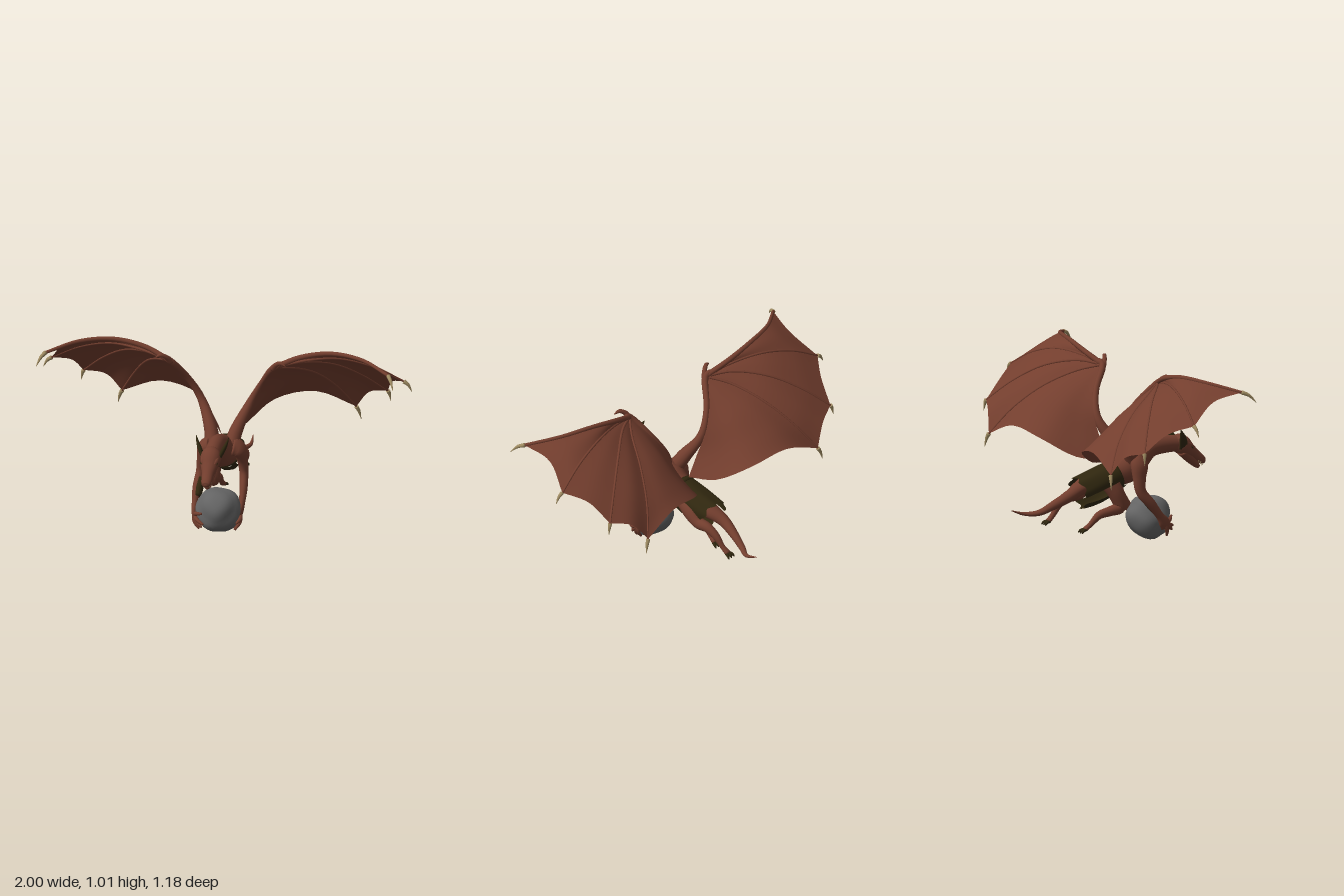
import * as THREE from 'three';
import { mergeVertices } from 'three/addons/utils/BufferGeometryUtils.js';

const V = (x, y, z) => new THREE.Vector3(x, y, z);

// Swept limb: points are [x, y, z, width, height]; ref is the width direction
function limbGeometry(pts, rings = 24, sides = 14, ref = V(1, 0, 0)) {
  const path = new THREE.CatmullRomCurve3(pts.map(p => V(p[0], p[1], p[2])));
  const size = new THREE.CatmullRomCurve3(pts.map(p => V(p[3], p[4] ?? p[3], 0)));
  const pos = [], idx = [];
  for (let i = 0; i <= rings; i++) {
    const c = path.getPoint(i / rings), t = path.getTangent(i / rings), r = size.getPoint(i / rings);
    const side = ref.clone().addScaledVector(t, -ref.dot(t)).normalize();
    const up = t.clone().cross(side);
    for (let j = 0; j < sides; j++) {
      const a = j / sides * Math.PI * 2;
      const p = c.clone().addScaledVector(side, Math.cos(a) * Math.max(r.x, 0.001))
        .addScaledVector(up, Math.sin(a) * Math.max(r.y, 0.001));
      pos.push(p.x, p.y, p.z);
      if (i < rings) {
        const k = i * sides, n = (j + 1) % sides;
        idx.push(k + j, k + n, k + sides + j, k + n, k + sides + n, k + sides + j);
      }
    }
  }
  // End caps
  for (const [i, flip] of [[0, true], [rings, false]]) {
    const c = path.getPoint(i / rings), k = i * sides, m = pos.length / 3;
    pos.push(c.x, c.y, c.z);
    for (let j = 0; j < sides; j++) {
      const n = (j + 1) % sides;
      idx.push(m, k + (flip ? n : j), k + (flip ? j : n));
    }
  }
  return build(pos, idx);
}

// Open sheet from a function of (u, v)
function sheetGeometry(f, nu, nv) {
  const pos = [], idx = [], w = nv + 1;
  for (let i = 0; i <= nu; i++) for (let j = 0; j <= nv; j++) {
    pos.push(...f(i / nu, j / nv).toArray());
    if (i < nu && j < nv) {
      const k = i * w + j;
      idx.push(k, k + 1, k + w, k + 1, k + w + 1, k + w);
    }
  }
  return build(pos, idx);
}

function build(pos, idx) {
  const g = new THREE.BufferGeometry();
  g.setAttribute('position', new THREE.Float32BufferAttribute(pos, 3));
  g.setIndex(idx);
  g.computeVertexNormals();
  return g;
}

export function createModel() {
  const model = new THREE.Group();
  const mat = (name, color, side = THREE.FrontSide) =>
    Object.assign(new THREE.MeshStandardMaterial({ color, side }), { name });
  const skin = mat('skin', 0x733e2e);
  const membraneSkin = mat('wing membrane', 0x733e2e, THREE.DoubleSide);
  const cloth = mat('dark cloth', 0x30270f, THREE.DoubleSide);
  const claw = mat('claw', 0xa08c62);
  const stone = mat('stone', 0x646464);

  const add = (name, geo, material, parent = model) => {
    const m = new THREE.Mesh(geo, material);
    m.name = name;
    parent.add(m);
    return m;
  };
  const group = name => {
    const g = new THREE.Group();
    g.name = name;
    model.add(g);
    return g;
  };

  // Neck, torso and tail in one sweep
  add('body', limbGeometry([
    [0, .5, .44, .042, .042], [0, .506, .34, .044, .048], [0, .497, .25, .047, .053], [0, .45, .17, .065, .075],
    [0, .405, .1, .085, .085], [0, .38, .02, .07, .066], [0, .362, -.08, .07, .055],
    [-.01, .33, -.18, .05, .04], [-.03, .292, -.27, .032, .032], [-.02, .25, -.36, .024, .024],
    [0, .214, -.44, .018, .016], [.035, .21, -.51, .011, .01], [.035, .235, -.588, .002, .002]], 64, 20), skin);

  // Head
  const head = group('head');
  add('skull', limbGeometry([[0, .508, .395, .038, .04], [0, .498, .435, .056, .054], [0, .462, .482, .047, .041],
    [0, .43, .525, .033, .03], [0, .403, .562, .029, .024], [0, .39, .58, .022, .018], [0, .387, .587, .006, .006]], 28, 16), skin, head);
  add('lowerJaw', limbGeometry([[0, .46, .445, .04, .028], [0, .423, .483, .036, .026], [0, .39, .518, .027, .021],
    [0, .366, .543, .02, .014], [0, .358, .551, .007, .006]], 16, 12), skin, head);
  for (const s of [1, -1]) {
    add('ear', limbGeometry([[s * .04, .485, .435, .01, .028], [s * .062, .53, .418, .012, .024],
      [s * .078, .565, .402, .008, .013], [s * .088, .597, .388, .001]], 10, 8), cloth, head);
    add('brow', limbGeometry([[s * .042, .508, .45, .008], [s * .036, .492, .482, .012], [s * .024, .466, .507, .004]], 8, 8), skin, head);
    add('eye', limbGeometry([[s * .046, .486, .475, .002, .003], [s * .042, .477, .488, .004, .004], [s * .037, .469, .498, .002]], 6, 8), cloth, head);
    for (let i = 0; i < 3; i++) {
      const x = s * (.017 + i * .003), y = .374 + i * .009, z = .564 - i * .012;
      add('tooth', limbGeometry([[x, y + .008, z, .004], [x, y - .005, z - .003, .001]], 3, 6), claw, head);
    }
  }

  // Wings
  for (const s of [1, -1]) {
    const wing = group(s > 0 ? 'leftWing' : 'rightWing');
    const M = pts => pts.map(([x, ...r]) => [x * s, ...r]);
    const curve = pts => new THREE.CatmullRomCurve3(M(pts).map(p => V(...p)));
    const wrist = [.285, .91, .125];
    const ribs = [
      [wrist, [.42, .965, .09], [.59, 1.0, .095], [.77, .995, .15], [.93, .962, .265]],
      [wrist, [.45, .945, .08], [.62, .95, .03], [.8, .9, -.01], [.955, .815, -.045]],
      [wrist, [.41, .92, .05], [.56, .88, -.07], [.7, .785, -.18], [.825, .665, -.275]],
      [wrist, [.37, .875, .02], [.46, .795, -.135], [.55, .67, -.275], [.635, .525, -.372]],
      [wrist, [.205, .8, .035], [.145, .685, -.015], [.085, .56, -.01], [.025, .45, -.01]],
    ];
    const tips = [[.968, .905, .335], [1.0, .76, -.042], [.84, .605, -.282], [.66, .45, -.383]];
    const curves = ribs.map(curve);
    // Inner points of each panel's scalloped outer edge
    const edges = [[[.9, .92, .11]], [[.87, .765, -.16]], [[.715, .63, -.33]],
      [[.42, .605, -.35], [.21, .565, -.3], [.085, .475, -.16]]];
    edges.forEach((mids, i) => {
      const edge = curve([ribs[i][4], ...mids, ribs[i + 1][4]]);
      const a = curves[i].getPoint(1), b = curves[i + 1].getPoint(1);
      add('membrane', sheetGeometry((t, u) => curves[i].getPoint(t).lerp(curves[i + 1].getPoint(t), u)
        .addScaledVector(edge.getPoint(u).sub(a.clone().lerp(b, u)), t * t), 20, 16), membraneSkin, wing);
    });
    // Finger bones and their claws
    tips.forEach((tip, i) => {
      const bone = ribs[i].map((p, k) => [...p, (i ? .008 : .016) - k * (i ? .0006 : .0018)]);
      add('fingerBone', limbGeometry(M(bone), 20, 8, V(0, 0, 1)), skin, wing);
      const base = ribs[i][4];
      const mid = base.map((c, k) => (c + tip[k]) / 2 + (k === 1 ? .012 : 0));
      add('wingClaw', limbGeometry(M([[...base, .012], [...mid, .009], [...tip, .001]]), 8, 8, V(0, .3, 1).normalize()), claw, wing);
    });
    add('wingArm', limbGeometry(M([[.05, .44, .12, .042, .045], [.07, .52, .075, .036, .04], [.135, .66, .004, .022, .022],
      [.205, .79, .036, .016, .017], [.285, .912, .125, .018, .018], [.32, .93, .12, .012]]), 24, 12), skin, wing);
    add('wingThumb', limbGeometry(M([[.275, .9, .125, .015], [.298, .935, .145, .013], [.325, .95, .16, .011],
      [.355, .938, .172, .002]]), 12, 8, V(0, 0, 1)), skin, wing);
  }

  // Arms reaching down to the boulder
  const arms = [
    { name: 'leftArm', pts: [[.055, .45, .14, .036, .05], [.09, .435, .125, .038, .052], [.108, .36, .1, .028, .038], [.115, .29, .1, .024, .03],
      [.122, .22, .145, .022, .027], [.122, .15, .195, .017, .022], [.118, .11, .22, .016, .032], [.112, .08, .238, .011, .028]],
      palm: [.116, .1, .225], tips: [[.11, .07, .295], [.105, .035, .285], [.095, .02, .262], [.09, .018, .235]] },
    { name: 'rightArm', pts: [[-.055, .45, .14, .036, .05], [-.09, .435, .13, .038, .052], [-.108, .36, .12, .028, .038], [-.116, .29, .125, .024, .03],
      [-.126, .22, .18, .022, .027], [-.125, .15, .235, .017, .022], [-.122, .11, .265, .016, .032], [-.116, .08, .278, .011, .028]],
      palm: [-.12, .1, .27], tips: [[-.07, .13, .34], [-.06, .075, .355], [-.07, .055, .342], [-.09, .03, .3]] },
  ];
  for (const { name, pts, palm, tips } of arms) {
    const arm = group(name), s = Math.sign(palm[0]);
    add('armSweep', limbGeometry(pts, 30, 14), skin, arm);
    for (const tip of tips) {
      const mid = palm.map((c, k) => (c + tip[k]) / 2 + (k === 0 ? s * .012 : 0));
      add('finger', limbGeometry([[...palm, .013], [...mid, .012], [...tip, .006]], 8, 8), skin, arm);
    }
  }
  // Cloth patch on the inside of one forearm
  add('forearmCloth', limbGeometry([[-.106, .26, .15, .022, .026], [-.11, .22, .185, .022, .028], [-.112, .18, .216, .018, .024]], 8, 14), cloth);

  // Trailing legs
  const legs = [
    { name: 'leftLeg', pts: [[.045, .355, -.03, .036, .045], [.058, .32, -.1, .037, .046], [.06, .275, -.17, .032, .034],
      [.055, .27, -.235, .026, .028], [.045, .235, -.29, .02, .022], [.037, .185, -.33, .014, .015], [.03, .155, -.365, .018, .013]] },
    { name: 'rightLeg', pts: [[-.045, .345, -.03, .038, .05], [-.06, .285, .005, .038, .046], [-.065, .21, .025, .033, .036],
      [-.063, .192, -.03, .026, .027], [-.058, .175, -.1, .021, .022], [-.053, .13, -.15, .014, .015], [-.05, .105, -.185, .018, .012]] },
  ];
  for (const { name, pts } of legs) {
    const leg = group(name), [x, y, z] = pts[pts.length - 1];
    add('legSweep', limbGeometry(pts, 30, 14), skin, leg);
    for (const i of [-1, 0, 1]) {
      add('toe', limbGeometry([[x + i * .008, y, z + .005, .009], [x + i * .016, y - .004, z - .015, .008], [x + i * .02, y - .016, z - .028, .003]], 6, 8), cloth, leg);
    }
  }

  // Belt, rear drape and loincloth
  const belt = add('belt', new THREE.TorusGeometry(.077, .009, 8, 32), cloth);
  belt.position.set(0, .376, .022);
  belt.rotation.x = -.43;
  belt.scale.set(1.02, 1, 1.5);
  add('rearDrape', sheetGeometry((u, v) => {
    const a = (v - .5) * 3.5;
    return V(-.02 * u + Math.sin(a) * (.084 + .03 * u * (1 - u)), .373 - .066 * u + (Math.cos(a) - u * .05) * .08,
      .008 - u * (.235 + .012 * Math.sin(a * 7)) + .025 * (1 - Math.cos(a)));
  }, 14, 36), cloth);
  add('loincloth', sheetGeometry((u, v) => V((v - .5) * (.13 - .03 * u), .296 - .085 * u - .018 * Math.sin(u * 3) + .14 * (v - .5) ** 2,
    .068 - u * (.24 + .012 * Math.sin(v * 14))), 12, 14), cloth);

  // Carried boulder
  let rock = new THREE.IcosahedronGeometry(1, 6);
  rock.deleteAttribute('normal');
  rock.deleteAttribute('uv');
  rock = mergeVertices(rock);
  const p = rock.attributes.position, q = V(0, 0, 0);
  for (let i = 0; i < p.count; i++) {
    q.fromBufferAttribute(p, i);
    const r = .12 + .004 * Math.sin(q.x * 5 + 1) * Math.cos(q.y * 4) + .004 * Math.sin(q.z * 6 + q.y * 5);
    q.multiplyScalar(r);
    p.setXYZ(i, q.x, THREE.MathUtils.clamp(q.y, -.115, .118), q.z);
  }
  rock.computeVertexNormals();
  add('boulder', rock, stone).position.set(.005, .121, .243);

  return model;
}
